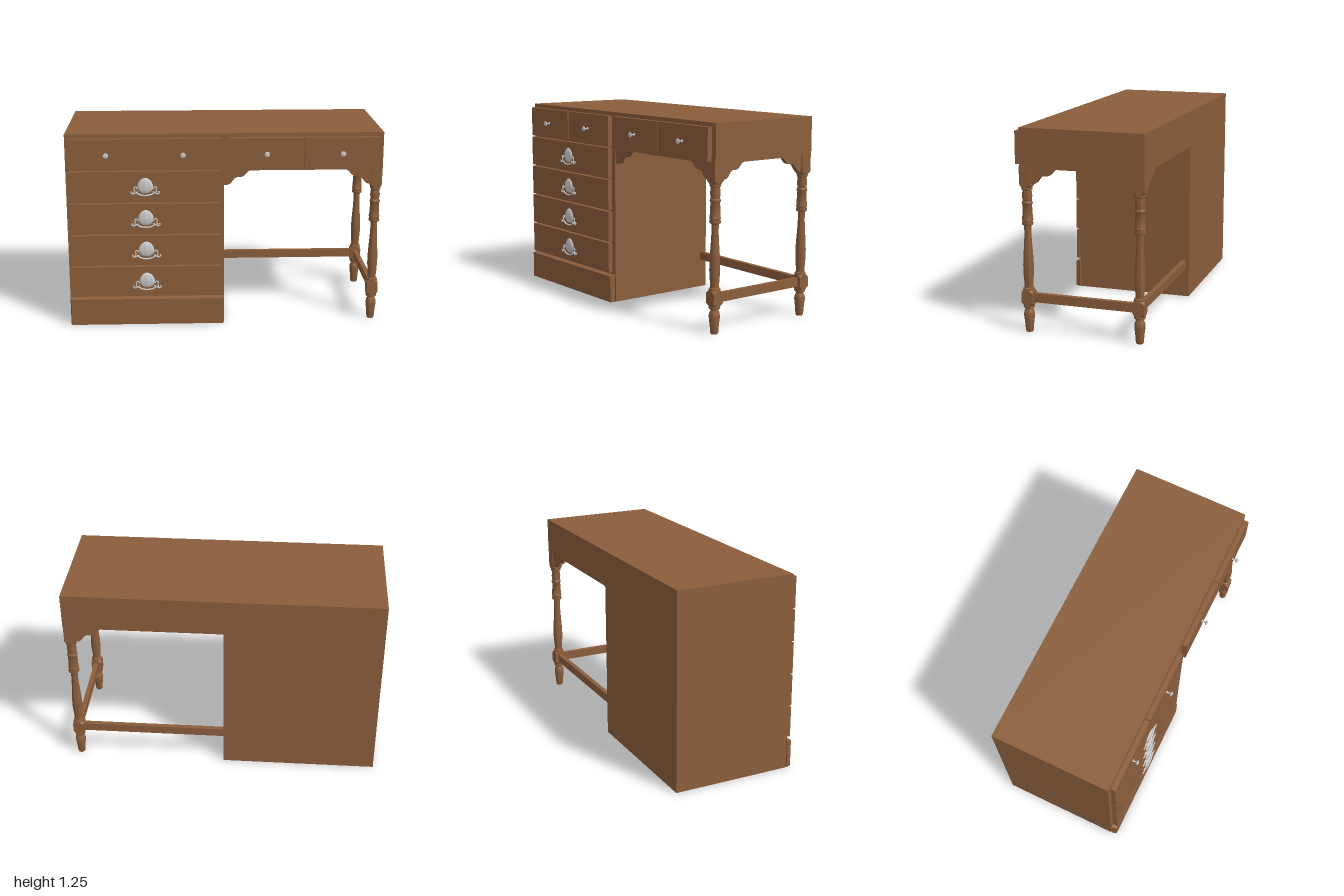
import * as THREE from 'three';
import { toCreasedNormals } from 'three/addons/utils/BufferGeometryUtils.js';

const wood = new THREE.MeshStandardMaterial({ color: 0x8b5e3c });
const metal = new THREE.MeshStandardMaterial({ color: 0xcccccc });
const V2 = (p) => new THREE.Vector2(p[0], p[1]);
const V3 = (p) => new THREE.Vector3(p[0], p[1], p[2]);

function add(parent, name, geometry, material, x = 0, y = 0, z = 0) {
  const mesh = new THREE.Mesh(geometry, material);
  mesh.name = name;
  mesh.position.set(x, y, z);
  parent.add(mesh);
  return mesh;
}

// Box given by its minimum and maximum corners
function box(parent, name, x0, x1, y0, y1, z0, z1) {
  return add(parent, name, new THREE.BoxGeometry(x1 - x0, y1 - y0, z1 - z0), wood,
    (x0 + x1) / 2, (y0 + y1) / 2, (z0 + z1) / 2);
}

// Square block whose chosen ends are turned, so the end edges arch
function turnedBlock(size, height, topTurned) {
  const g = new THREE.BoxGeometry(size, height, size, 8, 1, 8);
  const p = g.attributes.position;
  for (let i = 0; i < p.count; i++) {
    const drop = Math.max(0, Math.hypot(p.getX(i), p.getZ(i)) - size * 0.46) * 1.2;
    const y = p.getY(i);
    if (y < 0) p.setY(i, y + drop);
    else if (topTurned) p.setY(i, y - drop);
  }
  return toCreasedNormals(g, 0.6);
}

// Leg: turned foot, stretcher block, long baluster, top block
const footProfile = [[0, 0], [0.021, 0], [0.024, 0.01], [0.027, 0.05], [0.033, 0.1], [0.033, 0.115],
  [0.029, 0.132], [0.023, 0.142], [0.023, 0.15], [0.033, 0.154], [0.035, 0.162], [0.033, 0.17], [0, 0.172]];
const shaftProfile = [[0, 0.258], [0.033, 0.26], [0.035, 0.268], [0.033, 0.276], [0.026, 0.279], [0.026, 0.295],
  [0.029, 0.33], [0.032, 0.38], [0.032, 0.42], [0.029, 0.48], [0.024, 0.55], [0.021, 0.61], [0.022, 0.66],
  [0.032, 0.664], [0.035, 0.673], [0.032, 0.682], [0.032, 0.69], [0.035, 0.695], [0.032, 0.702],
  [0.031, 0.73], [0.028, 0.785], [0.031, 0.79], [0.033, 0.797], [0.031, 0.805], [0.027, 0.81],
  [0.031, 0.84], [0.027, 0.875], [0.033, 0.88], [0.034, 0.888], [0.032, 0.9], [0, 0.902]];

function leg(z) {
  const g = new THREE.Group();
  g.name = 'leg';
  g.position.set(0.96, 0, z);
  const turn = (pts) => toCreasedNormals(new THREE.LatheGeometry(pts.map(V2), 24), 0.7);
  add(g, 'foot', turn(footProfile), wood);
  add(g, 'shaft', turn(shaftProfile), wood);
  add(g, 'stretcherBlock', turnedBlock(0.07, 0.1, true), wood, 0, 0.217);
  add(g, 'topBlock', turnedBlock(0.07, 0.13, false), wood, 0, 0.957);
  return g;
}

// Scalloped corner bracket, running from its corner along +x
function bracketGeometry(thickness) {
  const s = new THREE.Shape();
  s.moveTo(0, 0.005);
  s.lineTo(0, -0.1);
  s.lineTo(0.02, -0.1);
  s.bezierCurveTo(0.05, -0.095, 0.05, -0.07, 0.07, -0.055);
  s.bezierCurveTo(0.085, -0.045, 0.11, -0.055, 0.125, -0.042);
  s.bezierCurveTo(0.14, -0.03, 0.145, -0.012, 0.168, -0.006);
  s.lineTo(0.168, 0.005);
  const g = new THREE.ExtrudeGeometry(s, { depth: thickness, bevelEnabled: false, curveSegments: 8 });
  g.translate(0, 0, -thickness / 2);
  return toCreasedNormals(g, 0.6);
}

// Knob turned about z
function knob(x) {
  const pts = [[0, 0], [0.009, 0], [0.009, 0.003], [0.004, 0.006], [0.004, 0.02], [0.008, 0.024],
    [0.017, 0.031], [0.016, 0.034], [0.008, 0.038], [0, 0.04]];
  const g = new THREE.LatheGeometry(pts.map(V2), 20);
  g.rotateX(Math.PI / 2);
  const m = new THREE.Mesh(toCreasedNormals(g, 0.6), metal);
  m.name = 'knob';
  m.position.set(x, 1.128, 0.384);
  return m;
}

// Cup pull: pointed shell, lower rim and scrolled wings
function cupPull(y) {
  const g = new THREE.Group();
  g.name = 'cupPull';
  g.position.set(-0.5, y, 0.385);
  const shell = new THREE.SphereGeometry(1, 28, 18, 0, Math.PI);
  const p = shell.attributes.position;
  for (let i = 0; i < p.count; i++) {
    const v = p.getY(i);
    const angle = Math.atan2(p.getX(i), p.getZ(i));
    const flute = 1 + 0.08 * Math.cos(angle * 8);
    p.setXYZ(i, p.getX(i) * 0.056 * (1 - 0.26 * (v + 1) / 2), 0.008 + v * 0.05,
      Math.abs(p.getZ(i)) * 0.013 * flute);
  }
  shell.computeVertexNormals();
  add(g, 'shell', shell, metal).material = metal;
  const tube = (pts, r) => new THREE.TubeGeometry(new THREE.CatmullRomCurve3(pts.map(V3)), 28, r, 8);
  add(g, 'rim', tube([[-0.062, -0.032, 0.005], [-0.035, -0.048, 0.009], [0, -0.053, 0.011],
    [0.035, -0.048, 0.009], [0.062, -0.032, 0.005]], 0.005), metal);
  for (const s of [-1, 1]) {
    add(g, 'wing', tube([[s * 0.045, -0.03, 0.005], [s * 0.062, -0.038, 0.005], [s * 0.08, -0.044, 0.005],
      [s * 0.089, -0.034, 0.005], [s * 0.082, -0.028, 0.005]], 0.0045), metal);
    add(g, 'scroll', tube([[s * 0.05, -0.012, 0.005], [s * 0.06, 0.002, 0.005], [s * 0.071, -0.006, 0.005],
      [s * 0.068, -0.022, 0.005], [s * 0.074, -0.036, 0.005]], 0.004), metal);
  }
  return g;
}

export function createModel() {
  const desk = new THREE.Group();
  desk.name = 'desk';

  // Cabinet and top as one body
  const outline = new THREE.Shape([[-0.998, 0], [-0.005, 0], [-0.005, 1.017], [0.997, 1.017],
    [0.997, 1.25], [-0.998, 1.25]].map(V2));
  add(desk, 'body', new THREE.ExtrudeGeometry(outline, { depth: 0.767, bevelEnabled: false }), wood, 0, 0, -0.421);

  // Top row of small drawers with knobs
  for (const x of [-0.975, -0.497, 0.025, 0.5]) {
    box(desk, 'smallDrawer', x, x + 0.47, 1.028, 1.226, 0.353, 0.384);
    desk.add(knob(x + 0.235));
  }

  // Four wide drawers with cup pulls
  for (let i = 0; i < 4; i++) {
    const y = 0.195 + i * 0.2085;
    box(desk, 'wideDrawer', -0.976, -0.03, y, y + 0.198, 0.353, 0.384);
    desk.add(cupPull(y + 0.1));
  }

  // Plinth with its front edges bevelled
  const plinth = box(desk, 'plinth', -0.998, -0.005, 0, 0.182, 0.353, 0.384);
  const p = plinth.geometry.attributes.position;
  for (let i = 0; i < p.count; i++) {
    if (p.getZ(i) < 0) continue;
    p.setX(i, p.getX(i) - Math.sign(p.getX(i)) * 0.009);
    if (p.getY(i) > 0) p.setY(i, p.getY(i) - 0.009);
  }
  plinth.geometry = toCreasedNormals(plinth.geometry, 0.1);

  // Legs and stretchers
  const legZ = [0.315, -0.385];
  for (const z of legZ) desk.add(leg(z));
  box(desk, 'sideStretcher', 0.945, 0.975, 0.19, 0.245, legZ[1], legZ[0]);
  box(desk, 'backStretcher', -0.01, 0.96, 0.19, 0.245, -0.4, -0.37);

  // Brackets: x, z and turn about y
  const bracket = bracketGeometry(0.03);
  for (const [x, z, turn] of [[-0.005, 0.325, 0], [0.93, 0.325, Math.PI], [0.93, -0.4, Math.PI],
    [0.97, 0.285, Math.PI / 2], [0.97, -0.355, -Math.PI / 2]]) {
    add(desk, 'bracket', bracket, wood, x, 1.017, z).rotation.y = turn;
  }
  // Thin rails joining the brackets
  box(desk, 'frontRail', 0, 0.93, 1.01, 1.02, 0.31, 0.34);
  box(desk, 'sideRail', 0.955, 0.985, 1.01, 1.02, -0.36, 0.29);
  return desk;
}
